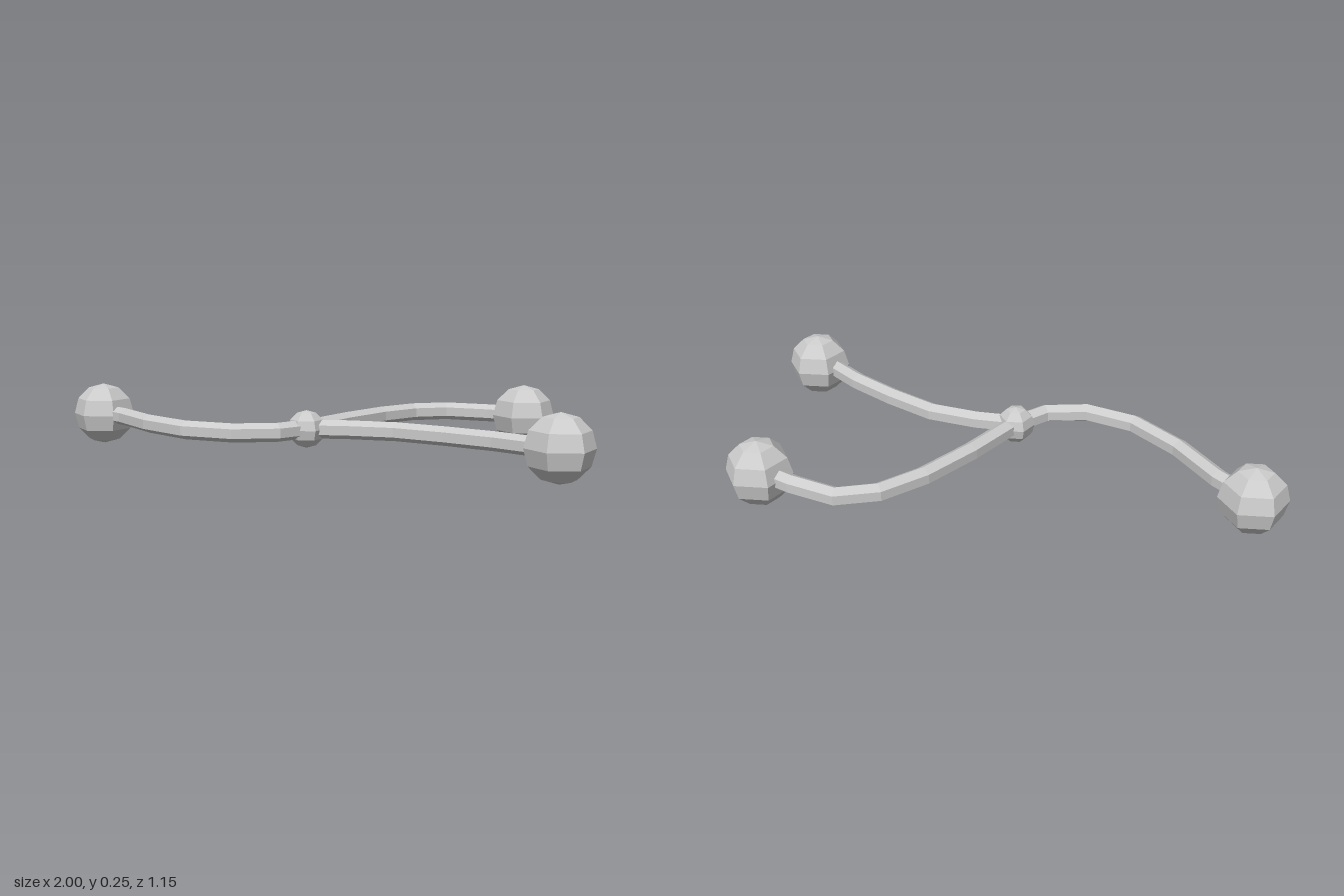
import * as THREE from 'three';

const material = new THREE.MeshStandardMaterial({ color: 0xcccccc, flatShading: true });
const MID = 0.127; // height of every centre

function ball(name, radius, x, z) {
  const mesh = new THREE.Mesh(new THREE.SphereGeometry(radius, 6, 6), material);
  mesh.name = name;
  mesh.position.set(x, MID, z);
  return mesh;
}

// Six-sided bent rod with its kinks exactly on the given [x, z] points
function arm(name, points) {
  const curve = new THREE.CatmullRomCurve3(points.map(([x, z]) => new THREE.Vector3(x, MID, z)));
  curve.getPointAt = curve.getPoint;
  curve.getTangentAt = curve.getTangent;
  const mesh = new THREE.Mesh(new THREE.TubeGeometry(curve, points.length - 1, 0.036, 6), material);
  mesh.name = name;
  return mesh;
}

export function createModel() {
  const group = new THREE.Group();
  group.name = 'threeArmedModel';
  const hub = [-0.005, 0.025];

  // Centre ball
  group.add(ball('hub', 0.072, ...hub));

  // Curved arms, each running from the hub to its end ball
  const arms = {
    backLeft: [hub, [0.14, -0.2], [0.283, -0.385], [0.422, -0.508], [0.567, -0.55], [0.735, -0.488], [0.875, -0.415]],
    backRight: [hub, [-0.11, 0.12], [-0.273, 0.144], [-0.46, 0.07], [-0.626, -0.096], [-0.76, -0.294], [-0.875, -0.415]],
    frontLeft: [hub, [0.15, 0.04], [0.33, 0.085], [0.51, 0.193], [0.675, 0.31], [0.79, 0.415], [0.875, 0.46]],
  };
  for (const [side, points] of Object.entries(arms)) {
    group.add(arm(side + 'Arm', points));
    group.add(ball(side + 'Ball', 0.125, ...points[points.length - 1]));
  }
  return group;
}
